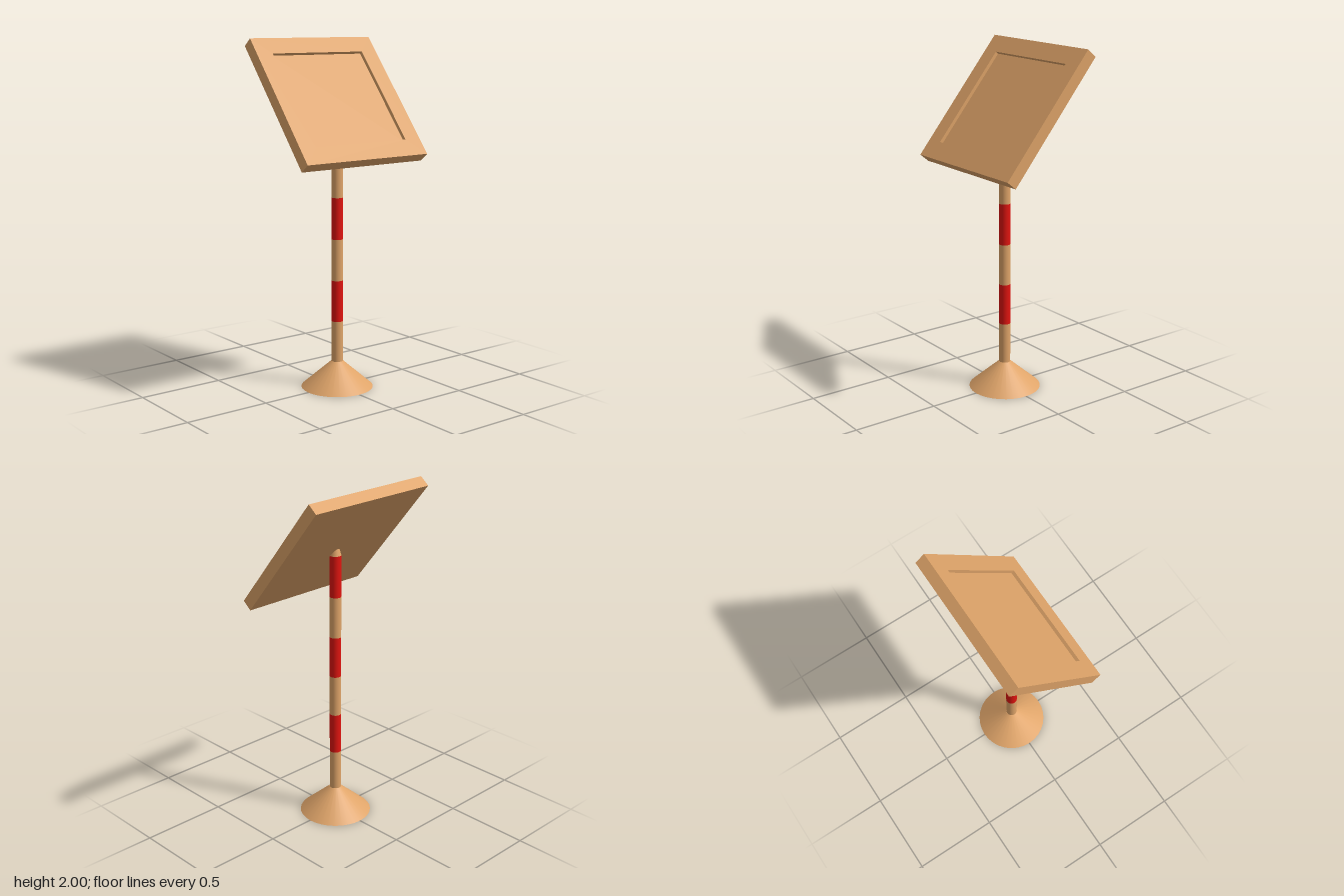
import * as THREE from 'three';

const wood = new THREE.MeshStandardMaterial({ color: 0xdfa469 });
const red = new THREE.MeshStandardMaterial({ color: 0xe0140f });

function add(parent, name, geometry, material, y = 0) {
  const mesh = new THREE.Mesh(geometry, material);
  mesh.name = name;
  mesh.position.y = y;
  parent.add(mesh);
  return mesh;
}

function rectangle(path, w, h) {
  path.moveTo(-w / 2, -h / 2);
  path.lineTo(w / 2, -h / 2);
  path.lineTo(w / 2, h / 2);
  path.lineTo(-w / 2, h / 2);
  path.closePath();
  return path;
}

export function createModel() {
  const model = new THREE.Group();
  model.name = 'signPost';

  // Conical foot
  add(model, 'foot', new THREE.CylinderGeometry(0.034, 0.208, 0.152, 32), wood, 0.076);

  // Striped pole, alternating wood and red bands
  const poleRadius = 0.033, bandHeight = 0.24, poleBottom = 0.15;
  for (let i = 0; i < 6; i++) {
    add(model, i % 2 ? 'redBand' : 'woodBand',
      new THREE.CylinderGeometry(poleRadius, poleRadius, bandHeight, 32),
      i % 2 ? red : wood, poleBottom + bandHeight * (i + 0.5));
  }

  // Tapered tip that runs into the panel
  add(model, 'poleTip', new THREE.CylinderGeometry(0.014, poleRadius, 0.07, 32), wood, 1.625);

  // Tilted panel with a shallow recess in its upper face
  const panel = new THREE.Group();
  panel.name = 'panel';
  panel.position.y = 1.656;
  panel.rotation.z = -Math.atan2(0.645, 0.53);
  model.add(panel);

  const length = 0.835, width = 0.834, thickness = 0.068, depth = 0.02;
  add(panel, 'panelBoard', new THREE.BoxGeometry(length, thickness - depth, width), wood, -depth / 2);

  const outline = rectangle(new THREE.Shape(), length, width);
  outline.holes.push(rectangle(new THREE.Path(), 0.621, 0.626));
  const rim = new THREE.ExtrudeGeometry(outline, { depth, bevelEnabled: false });
  rim.rotateX(-Math.PI / 2);
  add(panel, 'panelRim', rim, wood, thickness / 2 - depth);

  return model;
}
